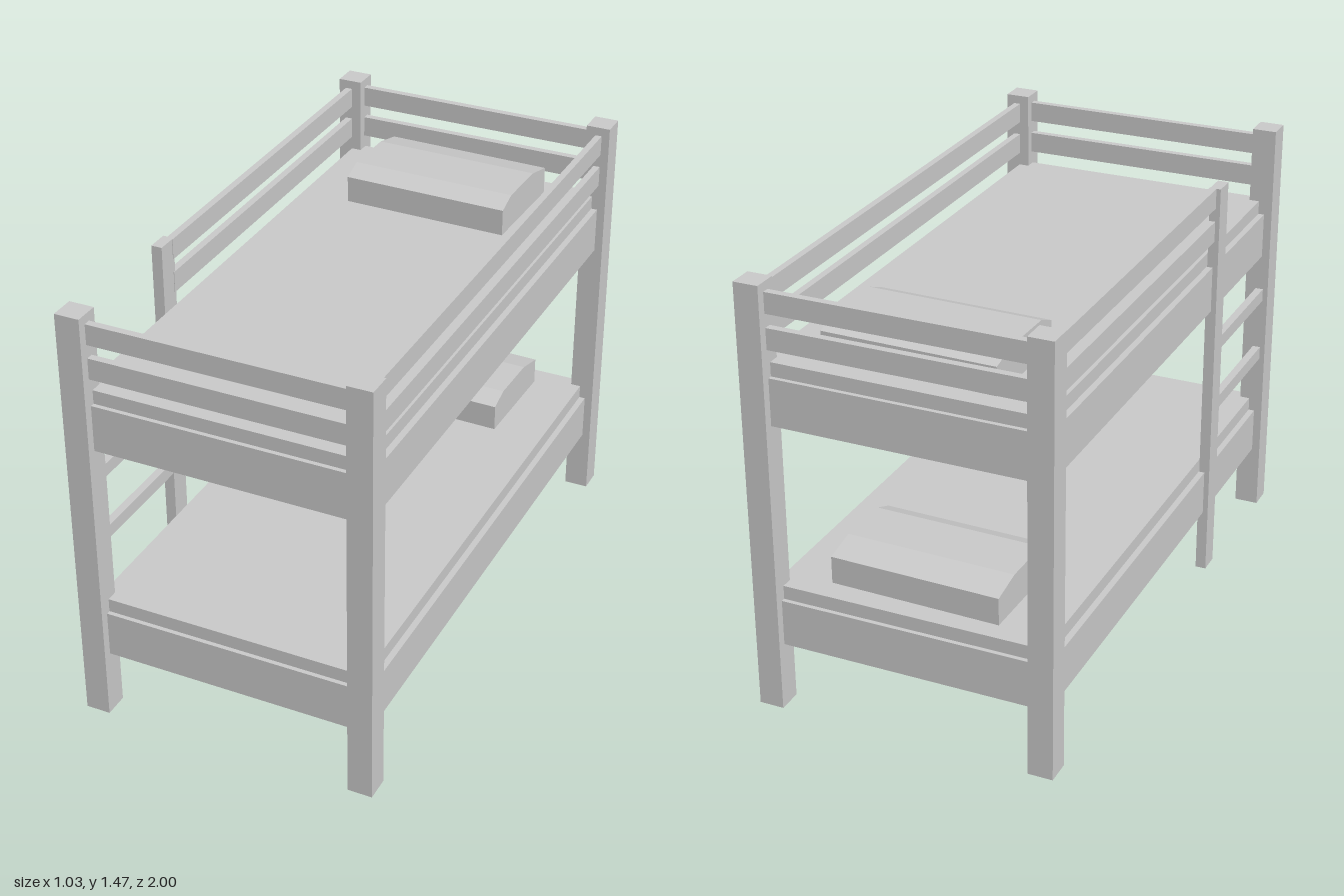
import * as THREE from 'three';

const material = new THREE.MeshStandardMaterial({ color: 0xcccccc, flatShading: true });

export function createModel() {
  const bed = new THREE.Group();
  bed.name = 'bunkBed';

  // Box given by its extents on each axis
  const box = (name, [x0, x1], [y0, y1], [z0, z1]) => {
    const mesh = new THREE.Mesh(new THREE.BoxGeometry(x1 - x0, y1 - y0, z1 - z0), material);
    mesh.position.set((x0 + x1) / 2, (y0 + y1) / 2, (z0 + z1) / 2);
    mesh.name = name;
    bed.add(mesh);
  };

  // Corner posts
  for (const x of [-0.515, 0.431])
    for (const z of [-1, 0.915])
      box('cornerPost', [x, x + 0.084], [0, 1.473], [z, z + 0.085]);

  // Pillow cross-section (depth, height), extruded across the bed
  const profile = [[-0.185, 0], [0.185, 0], [0.185, 0.092], [0.115, 0.12], [-0.075, 0.12], [-0.185, 0.094]];
  const pillowShape = new THREE.Shape(profile.map(([d, h]) => new THREE.Vector2(-d, h)));
  const pillowGeometry = new THREE.ExtrudeGeometry(pillowShape, { depth: 0.585, bevelEnabled: false });
  pillowGeometry.translate(0, 0, -0.2925).rotateY(Math.PI / 2);

  // Two bunks: frame, mattress and a slightly turned pillow
  for (const y of [0.225, 1.002]) {
    box('bunkFrame', [-0.487, 0.487], [y, y + 0.16], [-0.97, 0.97]);
    box('mattress', [-0.466, 0.466], [y + 0.15, y + 0.207], [-0.955, 0.955]);
    const pillow = new THREE.Mesh(pillowGeometry, material);
    pillow.name = 'pillow';
    pillow.position.set(0.004, y + 0.207, -0.696);
    pillow.rotation.y = -0.022;
    bed.add(pillow);
  }

  // Guard rails, with a gap on the ladder side
  for (const y of [[1.255, 1.327], [1.373, 1.443]]) {
    box('endRail', [-0.44, 0.44], y, [0.945, 0.97]);
    box('endRail', [-0.44, 0.44], y, [-0.97, -0.945]);
    box('leftRail', [0.464, 0.487], y, [-0.925, 0.925]);
    box('rightRail', [-0.49, -0.466], y, [-0.925, 0.39]);
  }

  // Ladder
  box('ladderPost', [-0.505, -0.468], [0, 1.443], [0.38, 0.455]);
  for (const y of [0.6, 0.83])
    box('ladderRung', [-0.497, -0.47], [y, y + 0.046], [0.45, 0.92]);

  return bed;
}
